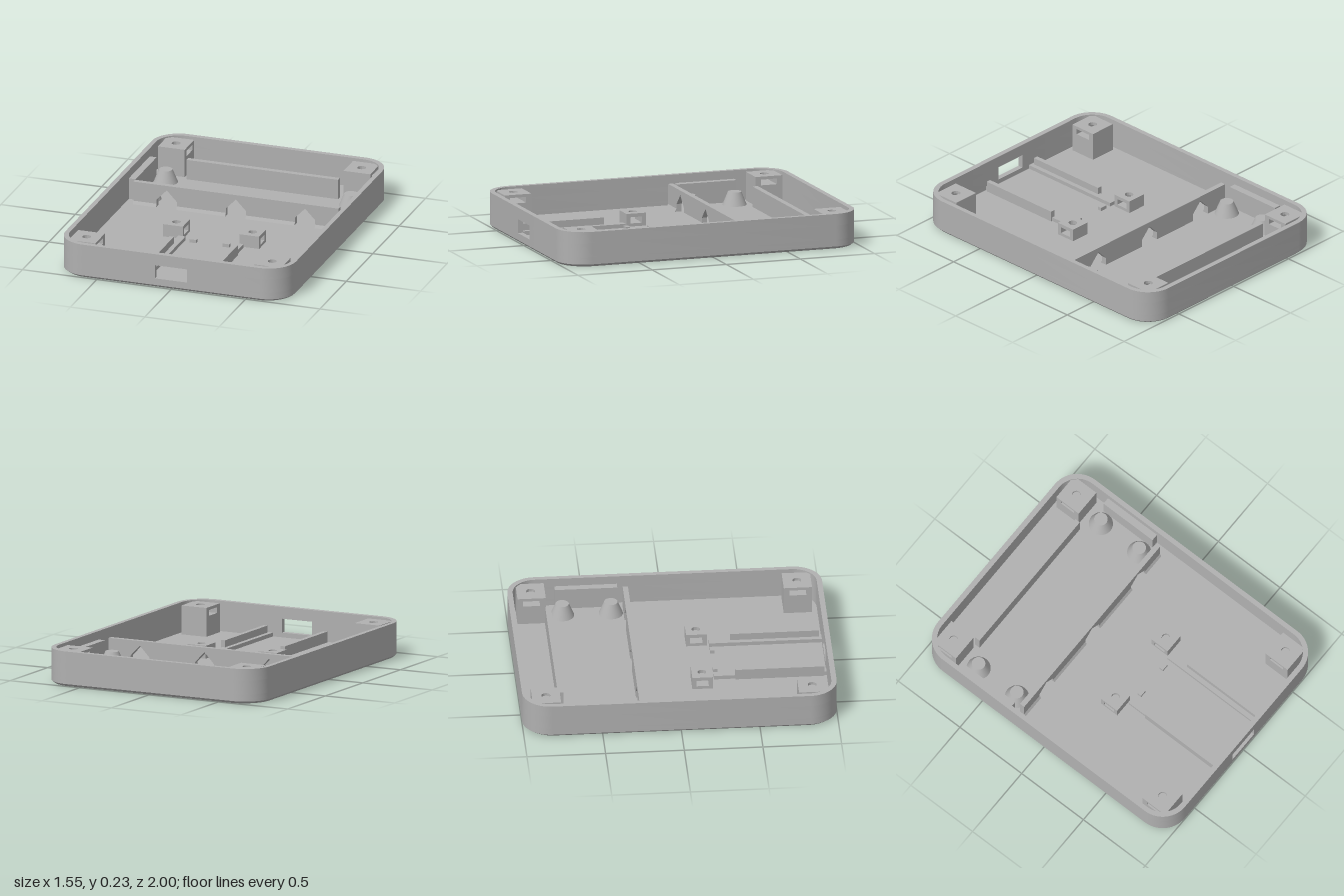
import * as THREE from 'three';
import { toCreasedNormals } from 'three/addons/utils/BufferGeometryUtils.js';

const grey = new THREE.MeshStandardMaterial({ color: 0xb0b0b0 });
grey.name = 'plain grey';

const FLOOR = 0.03, TOP = 0.225;
const WIN = { x0: -0.11, x1: 0.106, y0: 0.06, y1: 0.15 };

export function createModel() {
  const model = new THREE.Group();
  model.name = 'openTray';

  const add = (name, geometry, parent = model) => {
    const mesh = new THREE.Mesh(geometry, grey);
    mesh.name = name;
    parent.add(mesh);
    return mesh;
  };

  const box = (name, x0, x1, y0, y1, z0, z1, parent) => {
    const g = new THREE.BoxGeometry(x1 - x0, y1 - y0, z1 - z0);
    g.translate((x0 + x1) / 2, (y0 + y1) / 2, (z0 + z1) / 2);
    return add(name, g, parent);
  };

  // Extrudes a plan outline (shape y = -z) between two heights
  const slab = (shape, y0, y1) => {
    const g = new THREE.ExtrudeGeometry(shape, { depth: y1 - y0, bevelEnabled: false, curveSegments: 24 });
    g.rotateX(-Math.PI / 2).translate(0, y0, 0);
    return toCreasedNormals(g, 0.5);
  };

  // Rounded rectangle, starting at xr and ending at xl on the front edge
  const outline = (hx, hz, r, xl, xr) => {
    const pts = [new THREE.Vector2(xr, -hz)];
    [[1, -1], [1, 1], [-1, 1], [-1, -1]].forEach(([sx, sz], i) => {
      for (let k = 0; k <= 14; k++) {
        const a = (i - 1 + k / 14) * Math.PI / 2;
        pts.push(new THREE.Vector2(sx * (hx - r) + r * Math.cos(a), sz * (hz - r) + r * Math.sin(a)));
      }
    });
    pts.push(new THREE.Vector2(xl, -hz));
    return pts;
  };
  const outer = outline(0.775, 1, 0.18, WIN.x0, WIN.x1);
  const inner = outline(0.744, 0.966, 0.149, WIN.x0, WIN.x1);

  // Floor plate with a chamfered lower edge
  const chamfer = slab(new THREE.Shape(outer), 0, 0.015);
  const p = chamfer.attributes.position;
  for (let i = 0; i < p.count; i++) {
    if (p.getY(i) < 0.001) {
      p.setX(i, p.getX(i) * 0.981);
      p.setZ(i, p.getZ(i) * 0.985);
    }
  }
  chamfer.computeVertexNormals();
  add('chamferedBase', toCreasedNormals(chamfer, 0.5));
  add('floor', slab(new THREE.Shape(outer), 0.015, FLOOR));

  // Outer wall: closed rings below and above the window, open ring beside it
  const ring = new THREE.Shape(outer);
  ring.holes.push(new THREE.Path(inner));
  add('lowerWall', slab(ring, FLOOR, WIN.y0));
  add('windowWall', slab(new THREE.Shape([...outer, ...inner.slice().reverse()]), WIN.y0, WIN.y1));
  add('upperWall', slab(ring, WIN.y1, TOP));

  // Screw post: solid foot, sideways nut slot, drilled cap
  const post = (name, cx, cz, half, top, s0, s1, holeR) => {
    const g = new THREE.Group();
    g.name = name;
    const slot = half * 0.6;
    box('postFoot', -half, half, FLOOR, s0, -half, half, g);
    for (const s of [-1, 1]) {
      const a = s * slot, b = s * half;
      box('slotSide', -half, half, s0, s1, Math.min(a, b), Math.max(a, b), g);
    }
    const cap = new THREE.Shape([[-1, -1], [1, -1], [1, 1], [-1, 1]].map(([x, y]) => new THREE.Vector2(x * half, y * half)));
    const hole = new THREE.Path();
    hole.absarc(0, 0, holeR, 0, Math.PI * 2, true);
    cap.holes.push(hole);
    add('postCap', slab(cap, s1, top), g);
    g.position.set(cx, 0, cz);
    model.add(g);
  };
  for (const x of [-0.624, 0.624]) {
    post('rearCornerPost', x, -0.85, 0.09, 0.216, 0.16, 0.197, 0.028);
    post('frontCornerPost', x, 0.842, 0.09, 0.216, 0.16, 0.197, 0.028);
  }
  for (const x of [-0.259, 0.254]) post('middlePost', x, 0.17, 0.066, 0.113, 0.05, 0.09, 0.027);

  // Tapered standoffs
  for (const x of [-0.622, 0.622]) {
    for (const z of [-0.65, -0.34]) {
      const g = new THREE.CylinderGeometry(0.043, 0.077, 0.085, 32);
      g.translate(x, FLOOR + 0.0425, z);
      add('standoff', g);
    }
  }

  // Divider with three gabled cable openings along its foot
  const gables = [-0.465, 0, 0.465];
  const profile = [[-0.69, FLOOR]];
  for (const c of gables) {
    profile.push([c - 0.068, FLOOR], [c - 0.068, 0.08], [c, 0.15], [c + 0.068, 0.08], [c + 0.068, FLOOR]);
  }
  profile.push([0.69, FLOOR], [0.69, 0.18], [-0.69, 0.18]);
  const divider = new THREE.ExtrudeGeometry(
    new THREE.Shape(profile.map(([x, y]) => new THREE.Vector2(x, y))), { depth: 0.034, bevelEnabled: false });
  divider.translate(0, 0, -0.26);
  add('divider', divider);

  // Sloped strips bracing the divider between the openings
  for (const [x0, x1] of [[-0.69, -0.533], [-0.397, -0.068], [0.068, 0.397], [0.533, 0.69]]) {
    const tri = new THREE.Shape([[0, 0], [0.012, 0], [0, 0.02]].map(([x, y]) => new THREE.Vector2(x, y)));
    const g = new THREE.ExtrudeGeometry(tri, { depth: x1 - x0, bevelEnabled: false });
    g.rotateY(-Math.PI / 2).translate(x1, FLOOR, -0.226);
    add('dividerFillet', g);
  }

  // Rear rail and the side ledges of the rear bay
  box('rearRail', -0.512, 0.508, FLOOR, 0.162, -0.766, -0.73);
  box('leftLedge', 0.698, 0.75, FLOOR, 0.17, -0.69, -0.293);
  box('rightLedge', -0.75, -0.698, FLOOR, 0.17, -0.69, -0.293);

  // Board guides leading to the window, and their small stops
  for (const s of [-1, 1]) {
    const span = (a, b) => (s > 0 ? [a, b] : [-b, -a]);
    box('guideLedge', ...span(0.17, 0.22), FLOOR, 0.055, 0.25, 0.967);
    box('guideWall', ...span(0.2, 0.23), FLOOR, 0.1, 0.385, 0.95);
    box('boardStop', ...span(0.088, 0.134), FLOOR, 0.052, 0.25, 0.278);
  }

  return model;
}
